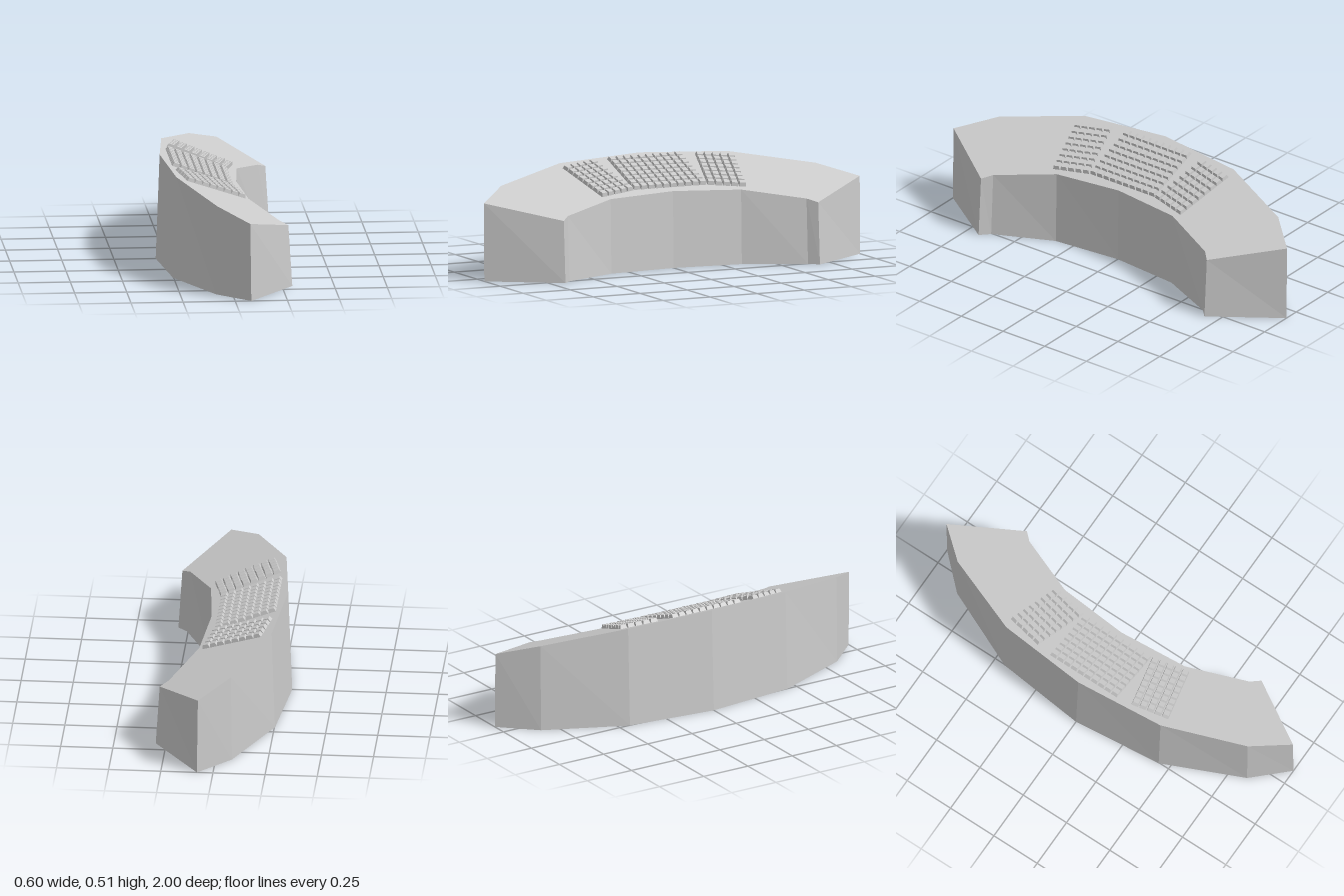
import * as THREE from 'three';
import { mergeGeometries } from 'three/addons/utils/BufferGeometryUtils.js';

const TILT = THREE.MathUtils.degToRad(20.5); // slope of the desk top
const HEIGHT = 0.403; // desk height at x = 0
const PITCH = 0.039, KEY_HEIGHT = 0.018;

const material = new THREE.MeshStandardMaterial({ color: 0xcccccc, flatShading: true });

// Curved desk: extruded footprint whose upper rim is laid onto the tilted plane
function makeDesk() {
  const half = [
    [-0.3, 0], [-0.253, 0.445], [-0.078, 0.837], [0.077, 1],
    [0.3, 0.677], [0.256, 0.635], [0.125, 0.347], [0.092, 0],
  ];
  const mirrored = half.slice(1, -1).reverse().map(([x, z]) => [x, -z]);
  const shape = new THREE.Shape([...half, ...mirrored].map(([x, z]) => new THREE.Vector2(x, z)));
  const geometry = new THREE.ExtrudeGeometry(shape, { depth: 1, bevelEnabled: false });
  geometry.rotateX(-Math.PI / 2);
  const p = geometry.attributes.position;
  for (let i = 0; i < p.count; i++) {
    if (p.getY(i) < 0.5) continue;
    const x = p.getX(i);
    p.setXY(i, x * Math.cos(TILT), HEIGHT - x * Math.sin(TILT));
  }
  geometry.computeVertexNormals();
  const desk = new THREE.Mesh(geometry, material);
  desk.name = 'desk';
  return desk;
}

// One key: a box narrowing towards its top
function makeKey() {
  const key = new THREE.BoxGeometry(PITCH, KEY_HEIGHT, 0.034);
  key.translate(0, KEY_HEIGHT / 2, 0);
  const p = key.attributes.position;
  for (let i = 0; i < p.count; i++) {
    if (p.getY(i) > 0.001) p.setXYZ(i, p.getX(i) * 0.69, p.getY(i), p.getZ(i) * 0.82);
  }
  key.computeVertexNormals();
  return key;
}

// A grid of keys, eight across the slope
function makeKeypad(name, rows, x, z, angle) {
  const keys = [];
  for (let c = 0; c < 8; c++) {
    for (let r = 0; r < rows; r++) {
      keys.push(makeKey().translate((c - 3.5) * PITCH, 0, (r - (rows - 1) / 2) * PITCH));
    }
  }
  const pad = new THREE.Mesh(mergeGeometries(keys), material);
  pad.name = name;
  pad.position.set(x, 0.002, z);
  pad.rotation.y = angle;
  return pad;
}

export function createModel() {
  const model = new THREE.Group();
  model.name = 'controlDesk';
  model.add(makeDesk());

  // Keypads lie on the tilted top
  const panel = new THREE.Group();
  panel.name = 'keypads';
  panel.position.y = HEIGHT;
  panel.rotation.z = -TILT;
  panel.add(makeKeypad('centreKeypad', 10, -0.098, 0, 0));
  for (const s of [1, -1]) {
    panel.add(makeKeypad(s > 0 ? 'frontKeypad' : 'rearKeypad', 5, -0.069, s * 0.326, s * 0.233));
  }
  model.add(panel);
  return model;
}
